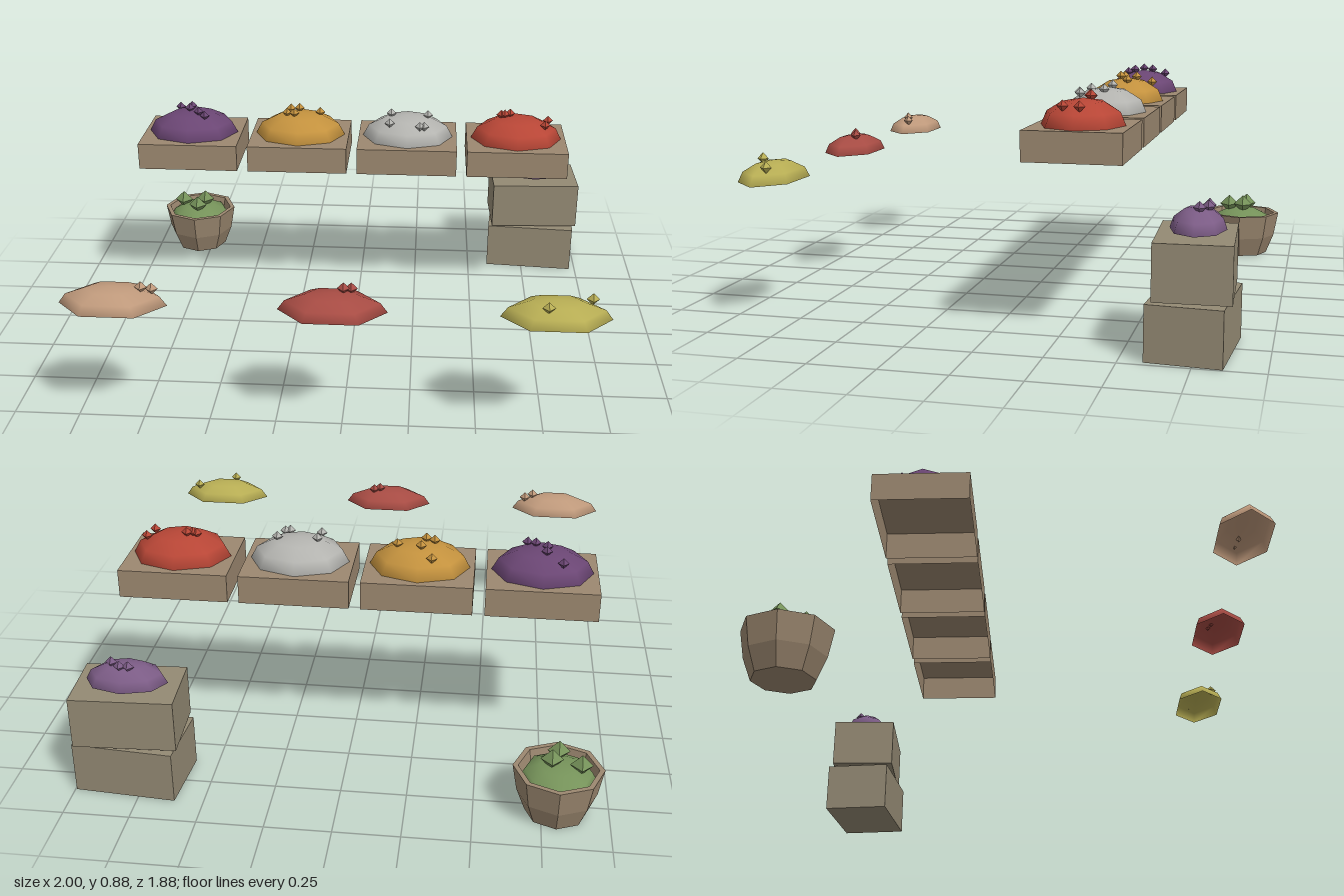
import * as THREE from 'three';

const WOOD = 0x9c8870, CRATE = 0x948a74;

function mat(color, options = {}) {
  const m = new THREE.MeshStandardMaterial({ color, ...options });
  return m;
}

function add(parent, name, geometry, material, x = 0, y = 0, z = 0) {
  const mesh = new THREE.Mesh(geometry, material);
  mesh.name = name;
  mesh.position.set(x, y, z);
  parent.add(mesh);
  return mesh;
}

// Open-bottomed low-poly mound with small octahedral lumps resting on its surface.
// Lumps are [dx, dz] offsets from the mound's centre.
function heap(name, color, sides, [x, y, z], [rx, h, rz], lumps, lumpSize, lift = 0.008) {
  const g = new THREE.Group();
  g.name = name;
  g.position.set(x, y, z);
  const dome = new THREE.SphereGeometry(1, sides, 3, 0, Math.PI * 2, 0, Math.PI / 2);
  dome.scale(rx, h, rz);
  add(g, 'mound', dome, mat(color, { side: THREE.DoubleSide }));
  const lumpMaterial = mat(color, { flatShading: true });
  for (const [dx, dz] of lumps) {
    const s = Math.max(0, 1 - (dx / rx) ** 2 - (dz / rz) ** 2);
    add(g, 'lump', new THREE.OctahedronGeometry(lumpSize), lumpMaterial, dx, h * Math.sqrt(s) + lift, dz);
  }
  return g;
}

// Upturned tray: a box without its bottom face
function trayGeometry(w, h, d) {
  const box = new THREE.BoxGeometry(w, h, d);
  const index = Array.from(box.index.array);
  index.splice(18, 6);
  box.setIndex(index);
  box.clearGroups();
  return box;
}

export function createModel() {
  const model = new THREE.Group();
  model.name = 'marketGoods';

  // Row of four trays with heaped goods
  const trays = [
    [-0.715, 0x6b4674, [[-0.07, -0.09], [-0.01, -0.04], [-0.013, 0], [0.03, 0.035], [0.06, 0.06]]],
    [-0.253, 0xc4923e, [[-0.05, -0.1], [-0.006, -0.04], [-0.054, 0.018], [-0.022, 0.03], [0.085, -0.015]]],
    [0.207, 0xb4b4b0, [[-0.07, -0.008], [0.085, -0.003], [-0.075, 0.077], [0.052, 0.098], [0.07, 0.093]]],
    [0.667, 0xb84636, [[-0.065, -0.017], [-0.05, -0.014], [-0.028, -0.023], [0.132, -0.013], [0.116, 0.05]]],
  ];
  for (const [x, color, lumps] of trays) {
    add(model, 'tray', trayGeometry(0.417, 0.11, 0.355), mat(WOOD, { side: THREE.DoubleSide }), x, 0.7, -0.317);
    model.add(heap('trayHeap', color, 8, [x, 0.755, -0.317], [0.191, 0.096, 0.154], lumps, 0.021));
  }

  // Three loose heaps at the front
  const loose = [
    [-0.805, 0xc09a7c, [[0.105, 0], [0.14, -0.012]]],
    [-0.025, 0xa84c44, [[0.038, -0.02], [0.065, -0.03]]],
    [0.755, 0xb8ae54, [[0.125, -0.03], [-0.035, 0.06]]],
  ];
  for (const [x, color, lumps] of loose) {
    model.add(heap('looseHeap', color, 6, [x, 0.53, 0.834], [0.195, 0.073, 0.113], lumps, 0.023, 0.01));
  }

  // Two stacked crates, each turned a little, with a heap above
  const crate = new THREE.BoxGeometry(0.387, 0.2, 0.268);
  add(model, 'lowerCrate', crate, mat(CRATE), 0.792, 0.1, -0.735).rotation.y = -0.077;
  add(model, 'upperCrate', crate, mat(CRATE), 0.792, 0.312, -0.738).rotation.y = 0.04;
  model.add(heap('crateHeap', 0x7c5c86, 8, [0.793, 0.428, -0.743], [0.155, 0.077, 0.098],
    [[-0.02, -0.035], [0.013, -0.035], [0.05, -0.008]], 0.023));

  // Eight-sided bowl with a thick rim
  const profile = [[0, 0], [0.115, 0], [0.148, 0.085], [0.167, 0.19], [0.147, 0.19], [0.13, 0.1], [0, 0.1]]
    .map(([r, y]) => new THREE.Vector2(r, y));
  add(model, 'bowl', new THREE.LatheGeometry(profile, 8),
    mat(WOOD, { flatShading: true, side: THREE.DoubleSide }), -0.804, 0, -0.778);
  model.add(heap('bowlHeap', 0x76935a, 8, [-0.804, 0.14, -0.778], [0.143, 0.07, 0.143],
    [[-0.08, -0.015], [0.027, -0.005], [0, 0.06]], 0.042, 0.02));

  return model;
}
